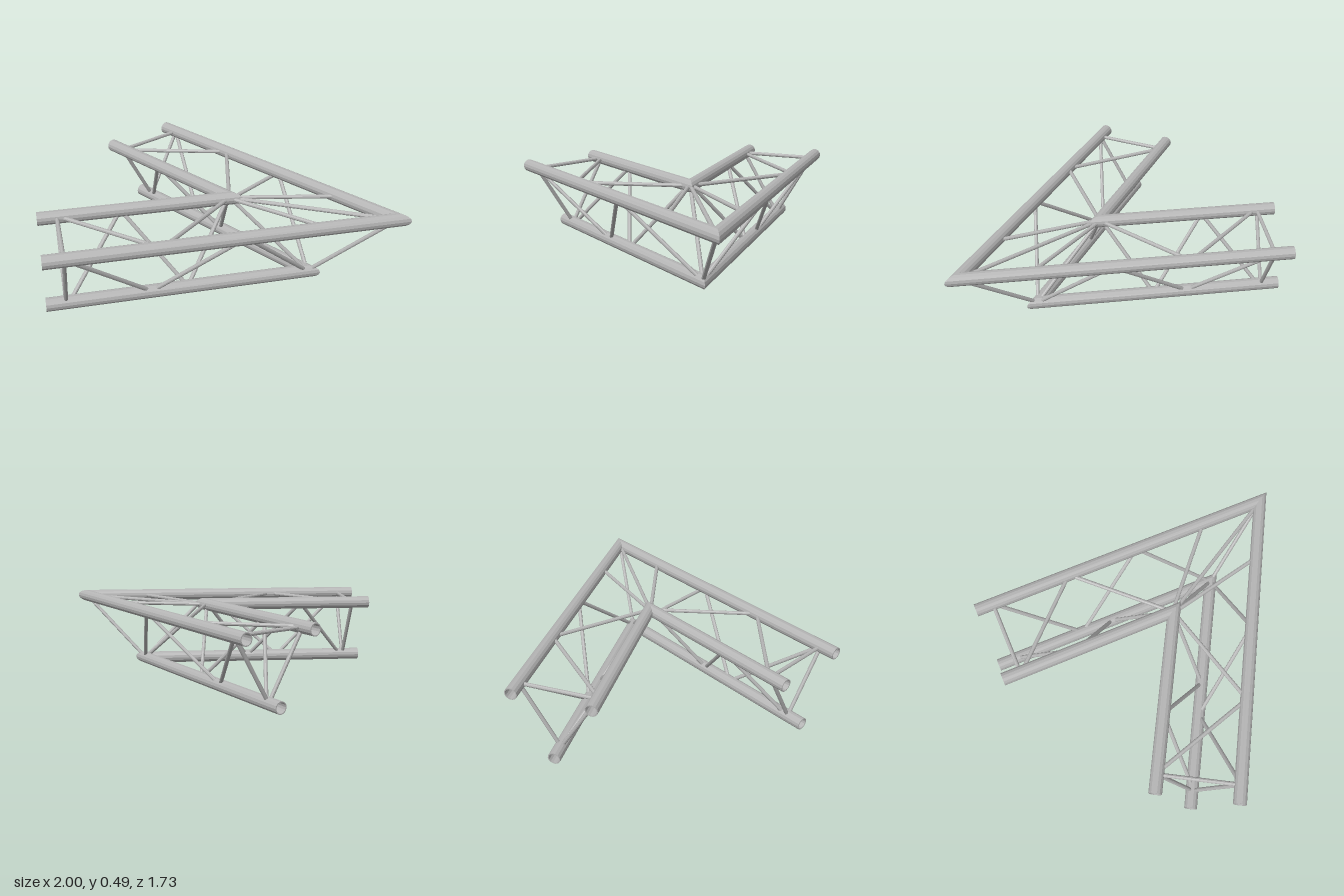
import * as THREE from 'three';

const R = 0.039, WALL = 0.006, BRACE_R = 0.012;
const SLOPE = Math.sqrt(3); // 60 degree corner: mitre line dx/dz
const CORNER = { x: 0.9325, z: 0.823 };
const END_X = -1;

// Chord axes of the first arm, which runs along x
const chords = {
  outer: { y: 0.45, z: 0.823 },
  inner: { y: 0.45, z: 0.348 },
  lower: { y: 0.039, z: 0.5855 },
};
const cornerX = (c) => CORNER.x + SLOPE * (c.z - CORNER.z);

// Reflection across the vertical mitre plane gives the second arm
const c60 = 0.5, s60 = SLOPE / 2;
const mirror = new THREE.Matrix4().makeTranslation(CORNER.x, 0, CORNER.z)
  .multiply(new THREE.Matrix4().set(c60, 0, s60, 0, 0, 1, 0, 0, s60, 0, -c60, 0, 0, 0, 0, 1))
  .multiply(new THREE.Matrix4().makeTranslation(-CORNER.x, 0, -CORNER.z));

// Hollow tube, square at the free end and mitred at the corner
function chordGeometry(c, mirrored) {
  const profile = [[R, 0], [R, 1], [R - WALL, 1], [R - WALL, 0]].map((p) => new THREE.Vector2(...p));
  const g = new THREE.LatheGeometry(profile, 14);
  g.rotateZ(Math.PI / 2);
  const p = g.attributes.position;
  for (let i = 0; i < p.count; i++) {
    const atEnd = p.getX(i) < -0.5;
    p.setX(i, atEnd ? END_X : cornerX(c) + SLOPE * p.getZ(i));
  }
  g.translate(0, c.y, c.z);
  if (mirrored) {
    g.applyMatrix4(mirror);
    const ix = g.index; // keep the faces turned outward
    for (let i = 0; i < ix.count; i += 3) {
      const t = ix.getX(i);
      ix.setX(i, ix.getX(i + 1));
      ix.setX(i + 1, t);
    }
  }
  const flat = g.toNonIndexed();
  flat.computeVertexNormals();
  return flat;
}

function braceMesh(a, b, material, name) {
  const d = b.clone().sub(a);
  const m = new THREE.Mesh(new THREE.CylinderGeometry(BRACE_R, BRACE_R, d.length(), 10), material);
  m.position.copy(a).add(b).multiplyScalar(0.5);
  m.quaternion.setFromUnitVectors(new THREE.Vector3(0, 1, 0), d.normalize());
  m.name = name;
  return m;
}

export function createModel() {
  const metal = new THREE.MeshStandardMaterial({ color: 0xb4b4b4, flatShading: true });
  metal.name = 'aluminium grey';
  const model = new THREE.Group();
  model.name = 'cornerTruss';

  // Zigzag webs, each a run of [chord, x] nodes
  const webs = {
    topBrace: [['inner', -0.88], ['outer', -0.39], ['inner', 0.1], ['outer', 0.53]],
    outerBrace: [['outer', -0.89], ['lower', -0.41], ['outer', 0.065], ['lower', 0.521]],
    innerBrace: [['lower', -0.87], ['inner', -0.535], ['lower', -0.2], ['inner', 0.09]],
    endBrace: [['inner', -0.89], ['outer', -0.89], ['lower', -0.89], ['inner', -0.89]],
  };
  const node = ([key, x]) => new THREE.Vector3(x, chords[key].y, chords[key].z);

  for (const mirrored of [false, true]) {
    const arm = new THREE.Group();
    arm.name = mirrored ? 'rearArm' : 'frontArm';
    for (const [key, c] of Object.entries(chords)) {
      const tube = new THREE.Mesh(chordGeometry(c, mirrored), metal);
      tube.name = key + 'Chord';
      arm.add(tube);
    }
    for (const [name, nodes] of Object.entries(webs)) {
      const pts = nodes.map(node);
      if (mirrored) pts.forEach((p) => p.applyMatrix4(mirror));
      for (let i = 0; i + 1 < pts.length; i++) arm.add(braceMesh(pts[i], pts[i + 1], metal, name));
    }
    model.add(arm);
  }

  // Triangle of braces in the mitre plane
  const corners = ['inner', 'outer', 'lower'].map((k) => node([k, cornerX(chords[k])]));
  corners.forEach((p, i) => model.add(braceMesh(p, corners[(i + 1) % 3], metal, 'cornerBrace')));

  return model;
}
